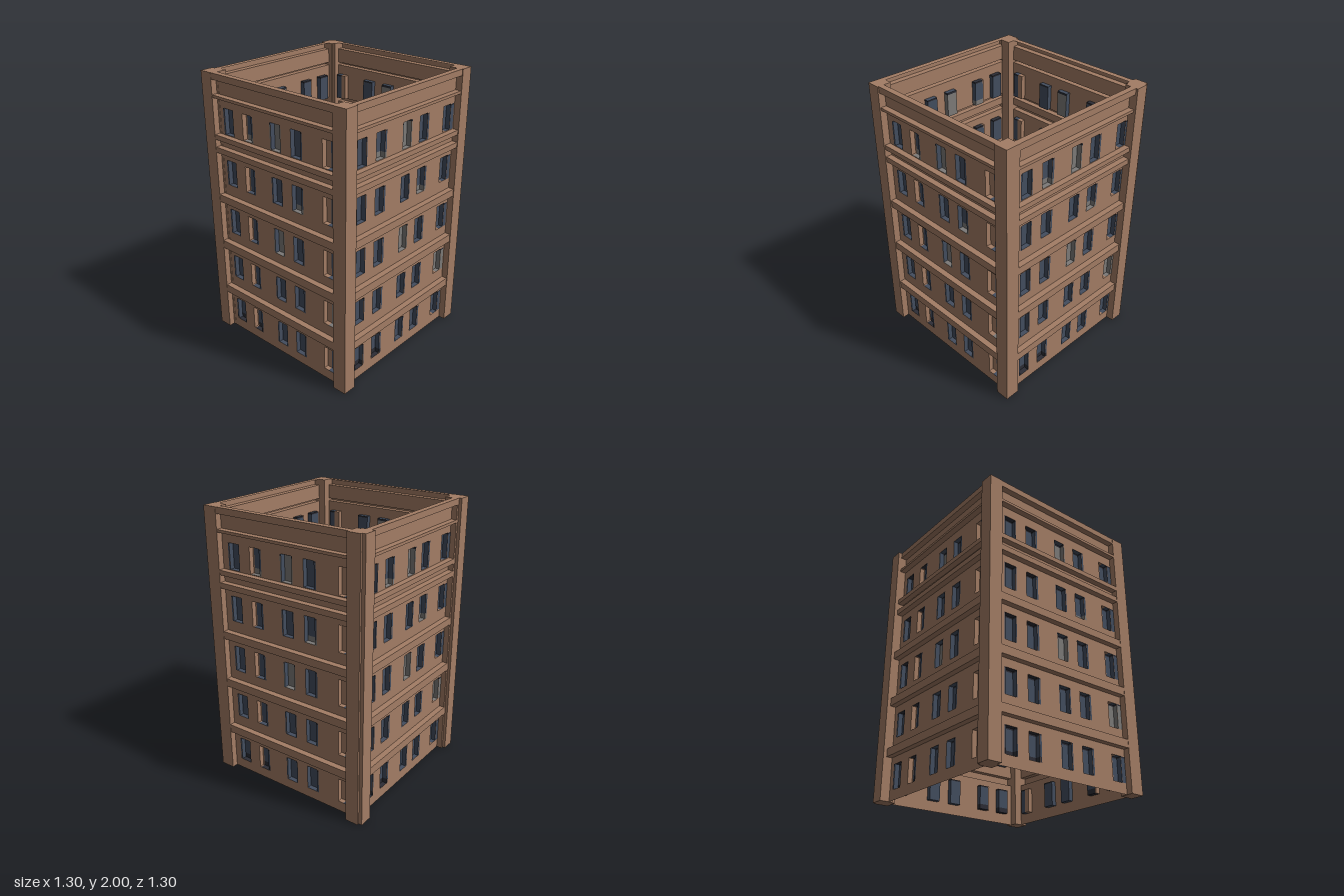
import * as THREE from 'three';

const mat = (name, color) => new THREE.MeshStandardMaterial({ name, color, side: THREE.DoubleSide });

// Panels (set back) between protruding bands, as [bottom, top]
const PANELS = [[0, 0.31], [0.37, 0.69], [0.75, 1.065], [1.12, 1.44], [1.48, 1.535], [1.57, 1.83], [1.85, 1.955]];
// Window rows: panel index, sill, head
const ROWS = [[0, 0.075, 0.255], [1, 0.45, 0.63], [2, 0.82, 1.01], [3, 1.2, 1.385], [5, 1.575, 1.76]];
// Window columns: opening start, opening end, glass start, glass end
const COLUMNS = [
  [-0.48, -0.395, -0.49, -0.39],
  [-0.30, -0.215, -0.29, -0.20],
  [-0.03, 0.055, -0.038, 0.063],
  [0.15, 0.235, 0.15, 0.25],
  [0.42, 0.505, 0.46, 0.54],
];
// Pane patterns by "row,column": [from, to, colour], as fractions of the height
const PLAIN = [[0, 0.94, 'glass'], [0.94, 1, 'dark']];
const PATTERNS = {
  '0,0': [[0, 0.2, 'dark'], [0.2, 0.94, 'glass'], [0.94, 1, 'dark']],
  '0,1': [[0, 0.2, 'dark'], [0.2, 0.94, 'glass'], [0.94, 1, 'dark']],
  '1,4': [[0, 0.94, 'blind'], [0.94, 1, 'dark']],
  '2,2': [[0, 0.94, 'blind'], [0.94, 1, 'dark']],
  '3,3': [[0, 0.2, 'blind'], [0.2, 0.94, 'glass'], [0.94, 1, 'dark']],
  '4,1': [[0, 0.2, 'blind'], [0.2, 0.94, 'glass'], [0.94, 1, 'dark']],
  '4,2': [[0, 0.92, 'blind'], [0.92, 1, 'dark']],
};

// Gathers flat rectangles into one mesh per colour
class Sheets {
  constructor() { this.points = {}; }
  quad(color, a, b, c, d) {
    (this.points[color] ??= []).push(...a, ...b, ...c, ...a, ...c, ...d);
  }
  face(color, x0, x1, y0, y1, z) {
    this.quad(color, [x0, y0, z], [x1, y0, z], [x1, y1, z], [x0, y1, z]);
  }
  shelf(color, x0, x1, y, z0, z1) {
    this.quad(color, [x0, y, z1], [x1, y, z1], [x1, y, z0], [x0, y, z0]);
  }
  side(color, x, y0, y1, z0, z1) {
    this.quad(color, [x, y0, z0], [x, y0, z1], [x, y1, z1], [x, y1, z0]);
  }
  addTo(group, names, materials) {
    for (const [color, pts] of Object.entries(this.points)) {
      const g = new THREE.BufferGeometry();
      g.setAttribute('position', new THREE.Float32BufferAttribute(pts, 3));
      g.computeVertexNormals();
      const mesh = new THREE.Mesh(g, materials[color]);
      mesh.name = names[color];
      group.add(mesh);
    }
  }
}

function rectangle(target, x0, x1, y0, y1) {
  target.moveTo(x0, y0);
  target.lineTo(x1, y0);
  target.lineTo(x1, y1);
  target.lineTo(x0, y1);
  target.closePath();
  return target;
}

// One side of the building, facing +z; outer is the distance of its bands
function createWall(name, outer, shift, materials) {
  const wall = new THREE.Group();
  wall.name = name;
  const zWall = outer - 0.043, zBack = zWall - 0.035, half = 0.55;

  // Set-back panels with window openings
  PANELS.forEach(([y0, y1], i) => {
    const shape = rectangle(new THREE.Shape(), -half, half, y0, y1);
    for (const [panel, sill, head] of ROWS) {
      if (panel !== i) continue;
      for (const [x0, x1] of COLUMNS) {
        shape.holes.push(rectangle(new THREE.Path(), x0 + shift, x1 + shift, sill, head));
      }
    }
    const mesh = new THREE.Mesh(new THREE.ShapeGeometry(shape), materials.brick);
    mesh.name = 'wallPanel';
    mesh.position.z = zWall;
    wall.add(mesh);
  });

  // Protruding bands, open towards the inside
  const bands = new Sheets();
  PANELS.forEach(([, y0], i) => {
    const y1 = i + 1 < PANELS.length ? PANELS[i + 1][0] : 2;
    bands.face('brick', -half, half, y0, y1, outer);
    bands.shelf('brick', -half, half, y1, zWall, outer);
    bands.quad('brick', [-half, y0, zWall], [half, y0, zWall], [half, y0, outer], [-half, y0, outer]);
  });
  bands.addTo(wall, { brick: 'bands' }, materials);

  // Recessed windows
  const win = new Sheets();
  ROWS.forEach(([, y0, y1], r) => COLUMNS.forEach((column, c) => {
    const [x0, x1, g0, g1] = column.map((v) => v + shift);
    const pattern = PATTERNS[`${r},${c}`] ?? PLAIN;
    const start = Math.max(x0, g0), end = Math.min(x1, g1);
    if (start > x0) win.face('brick', x0, start, y0, y1, zBack);
    for (const [f0, f1, color] of pattern) {
      const a = y0 + f0 * (y1 - y0), b = y0 + f1 * (y1 - y0);
      win.face(color, start, end, a, b, zBack);
      win.side(color, x1, a, b, zBack, zWall);
      // Glass colour running onto the wall beside the opening
      if (g1 > x1) win.face(color, x1, g1, a, b, zWall + 0.002);
      if (g0 < x0) win.face(color, g0, x0, a, b, zWall + 0.002);
    }
    win.side(start > x0 ? 'brick' : 'glass', x0, y0, y1, zBack, zWall);
    if (start > x0) {
      win.shelf('brick', x0, start, y1, zBack, zWall);
      win.shelf('brick', x0, start, y0, zBack, zWall);
    }
    win.shelf(c < 2 ? 'dark' : 'glass', start, x1, y1, zBack, zWall);
    win.shelf(pattern[0][2], start, x1, y0, zBack, zWall);
  }));
  win.addTo(wall, {
    brick: 'windowReveals', glass: 'windowGlass', dark: 'windowShadowStrips', blind: 'windowBlinds',
  }, materials);
  return wall;
}

export function createModel() {
  const materials = {
    brick: mat('brick brown', 0xa37d65),
    glass: mat('window blue', 0x434d5e),
    dark: mat('window dark', 0x2c2d35),
    blind: mat('blind grey', 0x7c7a78),
  };
  const model = new THREE.Group();
  model.name = 'building';

  // Four walls: name, band distance, sideways shift, turn
  for (const [name, outer, shift, turn] of [
    ['frontWall', 0.648, 0, 0],
    ['leftWall', 0.64, -0.01, 1],
    ['backWall', 0.638, 0.005, 2],
    ['rightWall', 0.622, -0.01, 3],
  ]) {
    const wall = createWall(name, outer, shift, materials);
    wall.rotation.y = turn * Math.PI / 2;
    model.add(wall);
  }

  // Corner pillars: x range, z range; two are stepped and made of two blocks
  for (const [name, x0, x1, z0, z1] of [
    ['frontLeftPillar', 0.543, 0.648, 0.55, 0.65],
    ['backLeftPillar', 0.538, 0.645, -0.64, -0.54],
    ['frontRightPillar', -0.643, -0.543, 0.55, 0.65],
    ['frontRightPillarStep', -0.62, -0.525, 0.532, 0.607],
    ['backRightPillar', -0.648, -0.552, -0.638, -0.54],
    ['backRightPillarStep', -0.623, -0.525, -0.653, -0.553],
  ]) {
    const pillar = new THREE.Mesh(new THREE.BoxGeometry(x1 - x0, 2, z1 - z0), materials.brick);
    pillar.name = name;
    pillar.position.set((x0 + x1) / 2, 1, (z0 + z1) / 2);
    model.add(pillar);
  }
  return model;
}
